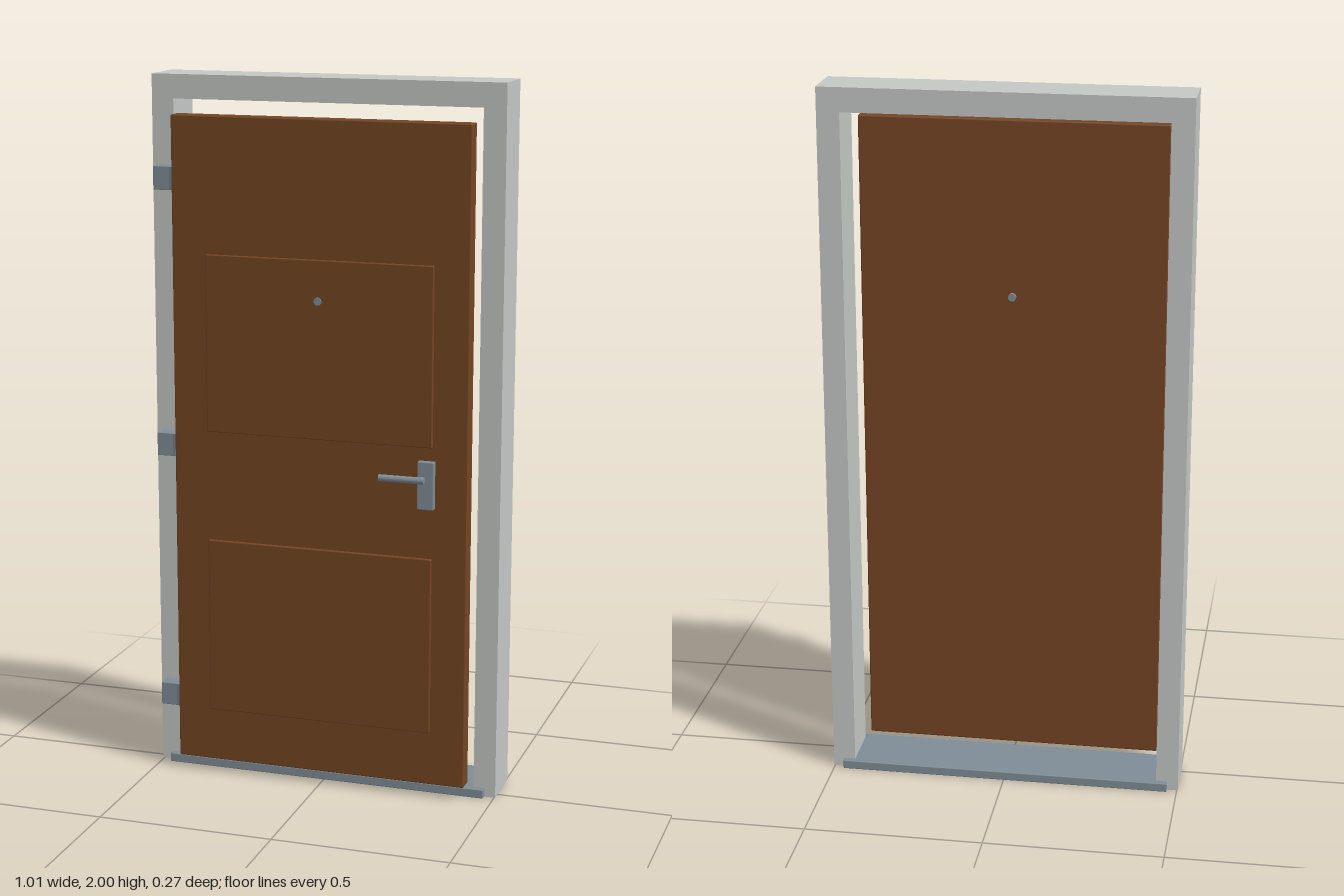
import * as THREE from 'three';
import { RoundedBoxGeometry } from 'three/addons/geometries/RoundedBoxGeometry.js';

function material(name, color) {
  const m = new THREE.MeshStandardMaterial({ color });
  m.name = name;
  return m;
}

export function createModel() {
  const frameGrey = material('frame grey', 0xc4c8c5);
  const woodBrown = material('wood brown', 0x744523);
  const steel = material('steel', 0x7f8d96);

  const model = new THREE.Group();
  model.name = 'door';

  function add(name, geometry, mat, parent = model) {
    const mesh = new THREE.Mesh(geometry, mat);
    mesh.name = name;
    parent.add(mesh);
    return mesh;
  }

  // Box given by its limits on each axis, with an optional edge radius
  function box(name, [x0, x1], [y0, y1], [z0, z1], mat, radius = 0, parent = model) {
    const size = [x1 - x0, y1 - y0, z1 - z0];
    const geometry = radius
      ? new RoundedBoxGeometry(...size, 2, radius)
      : new THREE.BoxGeometry(...size);
    const mesh = add(name, geometry, mat, parent);
    mesh.position.set((x0 + x1) / 2, (y0 + y1) / 2, (z0 + z1) / 2);
    return mesh;
  }

  // Frame: two jambs and a head, open at the bottom
  const outline = new THREE.Shape([
    [-0.503, 0], [-0.44, 0], [-0.44, 1.933], [0.44, 1.933],
    [0.44, 0], [0.503, 0], [0.503, 2], [-0.503, 2],
  ].map(([x, y]) => new THREE.Vector2(x, y)));
  const frame = new THREE.ExtrudeGeometry(outline, { depth: 0.144, bevelEnabled: false });
  add('frame', frame, frameGrey).position.z = -0.117;

  // Threshold
  box('threshold', [-0.472, 0.472], [0, 0.026], [-0.133, 0.046], steel, 0.003);

  // Door leaf with two raised panels
  box('doorLeaf', [-0.427, 0.425], [0.04, 1.895], [0.036, 0.084], woodBrown, 0.004);
  box('upperPanel', [-0.327, 0.326], [1.015, 1.515], [0.08, 0.094], woodBrown, 0.003);
  box('lowerPanel', [-0.327, 0.326], [0.195, 0.7], [0.08, 0.094], woodBrown, 0.003);

  // Peephole through the leaf
  const peephole = add('peephole', new THREE.CylinderGeometry(0.011, 0.011, 0.07, 20), steel);
  peephole.rotation.x = Math.PI / 2;
  peephole.position.set(0, 1.402, 0.062);

  // Hinges: leaf block on the frame and an upright barrel
  for (const y of [0.218, 0.963, 1.718]) {
    const hinge = new THREE.Group();
    hinge.name = 'hinge';
    hinge.position.y = y;
    model.add(hinge);
    box('hingePlate', [-0.487, -0.436], [-0.033, 0.033], [0.025, 0.069], steel, 0.002, hinge);
    add('hingeBarrel', new THREE.CylinderGeometry(0.014, 0.014, 0.064, 16), steel, hinge)
      .position.set(-0.431, 0, 0.058);
  }

  // Handle: back plate, spindle and lever
  const handle = new THREE.Group();
  handle.name = 'handle';
  model.add(handle);
  box('handlePlate', [0.29, 0.337], [0.845, 0.98], [0.093, 0.112], steel, 0.003, handle);
  const spindle = add('spindle', new THREE.CylinderGeometry(0.009, 0.009, 0.02, 16), steel, handle);
  spindle.rotation.x = Math.PI / 2;
  spindle.position.set(0.303, 0.93, 0.114);
  const lever = add('lever', new THREE.CylinderGeometry(0.0095, 0.0095, 0.128, 20), steel, handle);
  lever.rotation.z = Math.PI / 2;
  lever.position.set(0.249, 0.93, 0.1235);

  return model;
}
